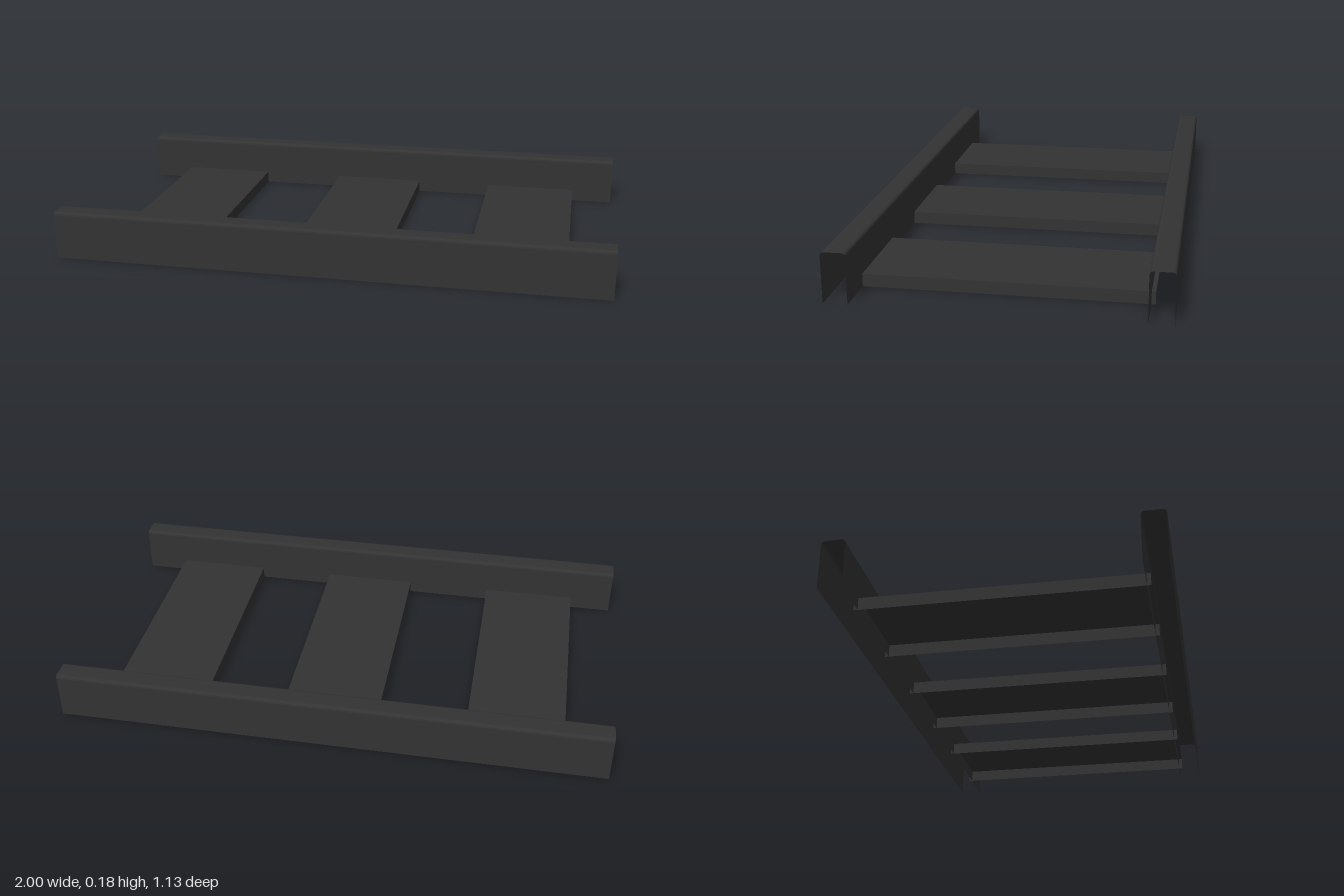
import * as THREE from 'three';

// Open sheet swept along x from a [z, y] profile
function sweepSheet(profile, length) {
  const h = length / 2, pos = [];
  for (let i = 0; i < profile.length - 1; i++) {
    const [az, ay] = profile[i], [bz, by] = profile[i + 1];
    pos.push(-h, ay, az, -h, by, bz, h, by, bz);
    pos.push(-h, ay, az, h, by, bz, h, ay, az);
  }
  const geo = new THREE.BufferGeometry();
  geo.setAttribute('position', new THREE.Float32BufferAttribute(pos, 3));
  geo.computeVertexNormals();
  return geo;
}

// Downward-open channel profile, with rounded top corners when r > 0
function channelProfile(width, height, r) {
  const w = width / 2, pts = [[-w, 0]];
  if (r === 0) {
    pts.push([-w, height], [w, height]);
  } else {
    for (const side of [-1, 1]) {
      for (let i = 0; i <= 3; i++) {
        const a = (side < 0 ? Math.PI - (i * Math.PI) / 6 : Math.PI / 2 - (i * Math.PI) / 6);
        pts.push([side * (w - r) + r * Math.cos(a), height - r + r * Math.sin(a)]);
      }
    }
  }
  pts.push([w, 0]);
  return pts;
}

export function createModel() {
  const group = new THREE.Group();
  group.name = 'channelFrame';
  const steel = new THREE.MeshStandardMaterial({ color: 0x333333, side: THREE.DoubleSide });
  steel.name = 'darkSteel';

  // Two long side rails
  const railGeo = sweepSheet(channelProfile(0.083, 0.176, 0.012), 2);
  for (const [name, side] of [['frontRail', 1], ['backRail', -1]]) {
    const rail = new THREE.Mesh(railGeo, steel);
    rail.name = name;
    rail.position.z = side * 0.5215;
    group.add(rail);
  }

  // Three broad cross channels, ends tucked just inside the rails
  const crossGeo = sweepSheet(channelProfile(0.354, 0.045, 0), 0.988);
  [['rightCrossChannel', -0.663], ['middleCrossChannel', 0.015], ['leftCrossChannel', 0.664]].forEach(([name, x]) => {
    const cross = new THREE.Mesh(crossGeo, steel);
    cross.name = name;
    cross.rotation.y = Math.PI / 2;
    cross.position.x = x;
    group.add(cross);
  });

  return group;
}
